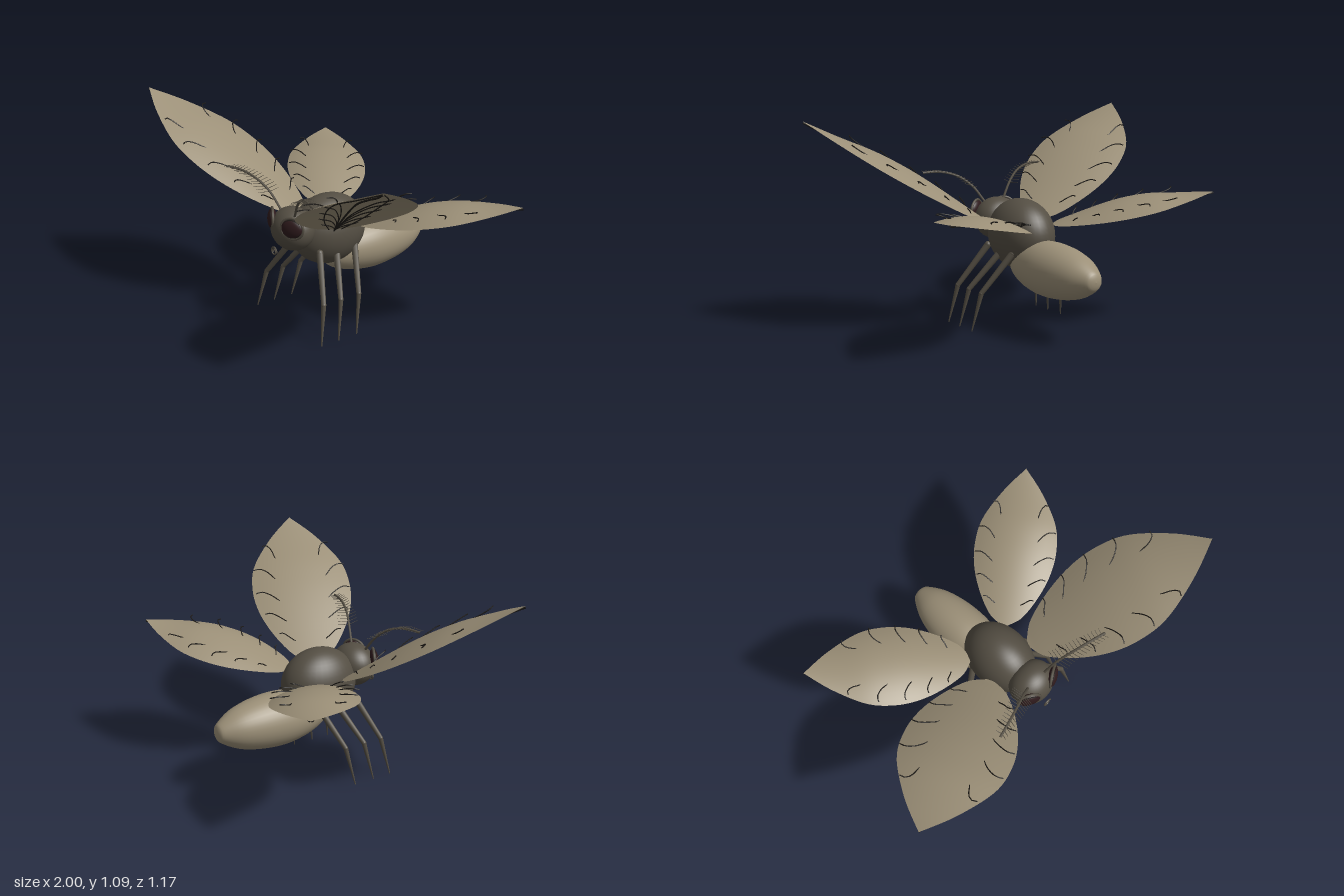
import * as THREE from 'three';

const V = (x, y, z) => new THREE.Vector3(x, y, z);

export function createModel() {
  const mat = (name, color, extra = {}) => new THREE.MeshStandardMaterial({ name, color, ...extra });
  const shell = mat('dark shell', 0x544e43);
  const tan = mat('tan abdomen', 0x9c9078);
  const membrane = mat('tan wing', 0x9c9078, { side: THREE.DoubleSide });
  const black = mat('black vein', 0x1e1b17);
  const eyeRed = mat('dark red eye', 0x2e1a1c);

  const model = new THREE.Group();
  const add = (parent, name, geo, material, pos) => {
    const m = new THREE.Mesh(geo, material);
    m.name = name;
    if (pos) m.position.copy(pos);
    parent.add(m);
    return m;
  };
  const ball = (rx, ry, rz) => new THREE.SphereGeometry(1, 36, 24).scale(rx, ry, rz);
  const tube = (pts, r, n = 10, sides = 5) =>
    new THREE.TubeGeometry(new THREE.CatmullRomCurve3(pts), n, r, sides);
  // Tapered rod between two points
  const rod = (parent, name, a, b, ra, rb, material, sides = 10) => {
    const d = b.clone().sub(a);
    const m = add(parent, name, new THREE.CylinderGeometry(rb, ra, d.length(), sides), material,
      a.clone().add(b).multiplyScalar(0.5));
    m.quaternion.setFromUnitVectors(V(0, 1, 0), d.normalize());
  };

  // Body
  add(model, 'thorax', ball(0.155, 0.187, 0.212), shell, V(0, 0.487, 0.032));
  add(model, 'head', ball(0.126, 0.113, 0.108), shell, V(0, 0.54, 0.255));
  const profile = new THREE.SplineCurve([[0, -0.06], [0.07, -0.035], [0.115, 0.06], [0.138, 0.17], [0.141, 0.27],
    [0.128, 0.38], [0.1, 0.48], [0.055, 0.56], [0.03, 0.58], [0, 0.586]].map(p => new THREE.Vector2(...p)));
  const abdomenPts = profile.getPoints(36).map(p => new THREE.Vector2(Math.max(p.x, 0), p.y));
  add(model, 'abdomen', new THREE.LatheGeometry(abdomenPts, 36).rotateX(-Math.PI / 2), tan, V(0, 0.345, 0));

  // Coiled mouth tube
  const coil = [];
  for (let i = 0; i <= 20; i++) {
    const a = i * Math.PI / 6, r = 0.025 - i * 0.0009;
    coil.push(V(r * Math.cos(a), 0.444 + r * Math.sin(a), 0.373));
  }
  add(model, 'mouthCoil', tube(coil, 0.0042, 72, 6), shell);

  // Half-width of a wing along its length
  const outline = new THREE.SplineCurve([[0, 0.02], [0.06, 0.11], [0.2, 0.2], [0.35, 0.258], [0.5, 0.275],
    [0.66, 0.245], [0.85, 0.13], [1, 0]].map(p => new THREE.Vector2(...p)));
  const halfWidth = t => {
    let lo = 0, hi = 1;
    for (let i = 0; i < 20; i++) {
      const mid = (lo + hi) / 2;
      if (outline.getPoint(mid).x < t) lo = mid; else hi = mid;
    }
    return outline.getPoint(lo).y;
  };

  const wings = [
    { name: 'foreWing', root: [0.14, 0.1], tip: [0.995, 0.495], plane: [0.44, 0.521, 0.272], width: 1, dome: 0.65 },
    { name: 'hindWing', root: [0.13, -0.06], tip: [0.805, -0.555], plane: [0.505, 0.204, -0.076], width: 0.79, dome: 1.15 },
  ];

  function buildWing({ name, root, tip, plane, width, dome }, side) {
    const g = new THREE.Group();
    g.name = name;
    const dx = tip[0] - root[0], dz = tip[1] - root[1], len = Math.hypot(dx, dz);
    // Point at length t and width fraction s, lifted by h from the arched sheet
    const at = (t, s, h = 0) => {
      const half = halfWidth(t) * width, w = s * half;
      const x = root[0] + dx * t - w * dz / len, z = root[1] + dz * t + w * dx / len;
      const y = plane[0] + plane[1] * x + plane[2] * z + dome * (half * half - w * w);
      return V(side * x, y + h, z);
    };
    const rows = 40, cols = 14, pos = [], index = [];
    for (let i = 0; i <= rows; i++) {
      for (let j = 0; j <= cols; j++) {
        const p = at(outline.getPoint(i / rows).x, j / cols * 2 - 1);
        pos.push(p.x, p.y, p.z);
        if (i === rows || j === cols) continue;
        const a = i * (cols + 1) + j, b = a + 1, c = a + cols + 1, d = c + 1;
        if (side > 0) index.push(a, b, c, b, d, c);
        else index.push(a, c, b, b, c, d);
      }
    }
    const geo = new THREE.BufferGeometry();
    geo.setAttribute('position', new THREE.Float32BufferAttribute(pos, 3));
    geo.setIndex(index);
    geo.computeVertexNormals();
    add(g, 'membrane', geo, membrane);

    // Veins run below the sheet; side veins pierce it and stand clear near the edge
    const mid = [0, 0.1, 0.25, 0.5, 0.75, 0.9, 1].map(t => at(t, 0, -0.007));
    add(g, 'midVein', tube(mid, 0.005, 24), black);
    for (const s of [-1, 1]) {
      for (const t of [0.14, 0.27, 0.41, 0.57, 0.74]) {
        const pts = [[0.02, 0, -0.007], [0.4 * t, 0.12, -0.007], [0.75 * t, 0.32, -0.007],
          [0.91 * t, 0.52, -0.003], [0.99 * t, 0.68, 0.014], [t + 0.015, 0.84, 0.029], [t + 0.012, 0.97, 0.036]]
          .map(([u, v, h]) => at(u, s * v, h));
        add(g, 'sideVein', tube(pts, 0.003, 32), black);
      }
      const long = [0.03, 0.2, 0.4, 0.6, 0.8, 0.99].map(t => at(t, s * 0.45, -0.006));
      add(g, 'longVein', tube(long, 0.003, 24), black);
    }
    model.add(g);
  }

  for (const side of [1, -1]) {
    const S = (x, y, z) => V(side * x, y, z);
    for (const w of wings) buildWing(w, side);

    // Broad flattened eye inside a double rim
    const eye = new THREE.Group();
    eye.name = 'eye';
    eye.position.copy(S(0.088, 0.583, 0.322));
    eye.lookAt(S(0.088 + 0.5, 0.583 + 0.06, 0.322 + 0.85));
    add(eye, 'eyeball', ball(0.058, 0.05, 0.024), eyeRed);
    add(eye, 'eyeRim', new THREE.TorusGeometry(0.054, 0.007, 8, 32).scale(1.1, 1, 1), shell);
    add(eye, 'eyeInnerRim', new THREE.TorusGeometry(0.045, 0.0035, 6, 32).scale(1.1, 1, 1), black, V(0, 0, 0.008));
    model.add(eye);

    // Feathered antenna
    const antenna = new THREE.Group();
    antenna.name = 'antenna';
    const path = new THREE.CatmullRomCurve3([S(0.06, 0.63, 0.285), S(0.12, 0.715, 0.31),
      S(0.19, 0.77, 0.34), S(0.28, 0.797, 0.37), S(0.375, 0.797, 0.395)]);
    add(antenna, 'antennaStalk', new THREE.TubeGeometry(path, 24, 0.0065, 6), shell);
    for (let i = 0; i < 15; i++) {
      const p = path.getPoint(0.25 + i * 0.05);
      const l = 0.065 * (1 - i * 0.035);
      for (const d of [-1, 1]) {
        rod(antenna, 'antennaHair', p, p.clone().add(S(0.01, 0.006, d * l)), 0.0018, 0.001, shell, 4);
      }
    }
    model.add(antenna);

    // Three legs, each with a thigh, knee and tapering shin
    for (const [z, y] of [[0.172, 0.42], [0.064, 0.395], [-0.052, 0.41]]) {
      const leg = new THREE.Group();
      leg.name = 'leg';
      const hip = S(0.115, y, z), knee = S(0.255, 0.205, z + 0.08), foot = S(0.29, 0, z + 0.12);
      rod(leg, 'thigh', hip, knee, 0.018, 0.013, shell);
      add(leg, 'hip', ball(0.018, 0.018, 0.018), shell, hip);
      add(leg, 'knee', ball(0.013, 0.013, 0.013), shell, knee);
      rod(leg, 'shin', knee, foot, 0.013, 0.003, shell);
      model.add(leg);
    }
  }
  return model;
}
